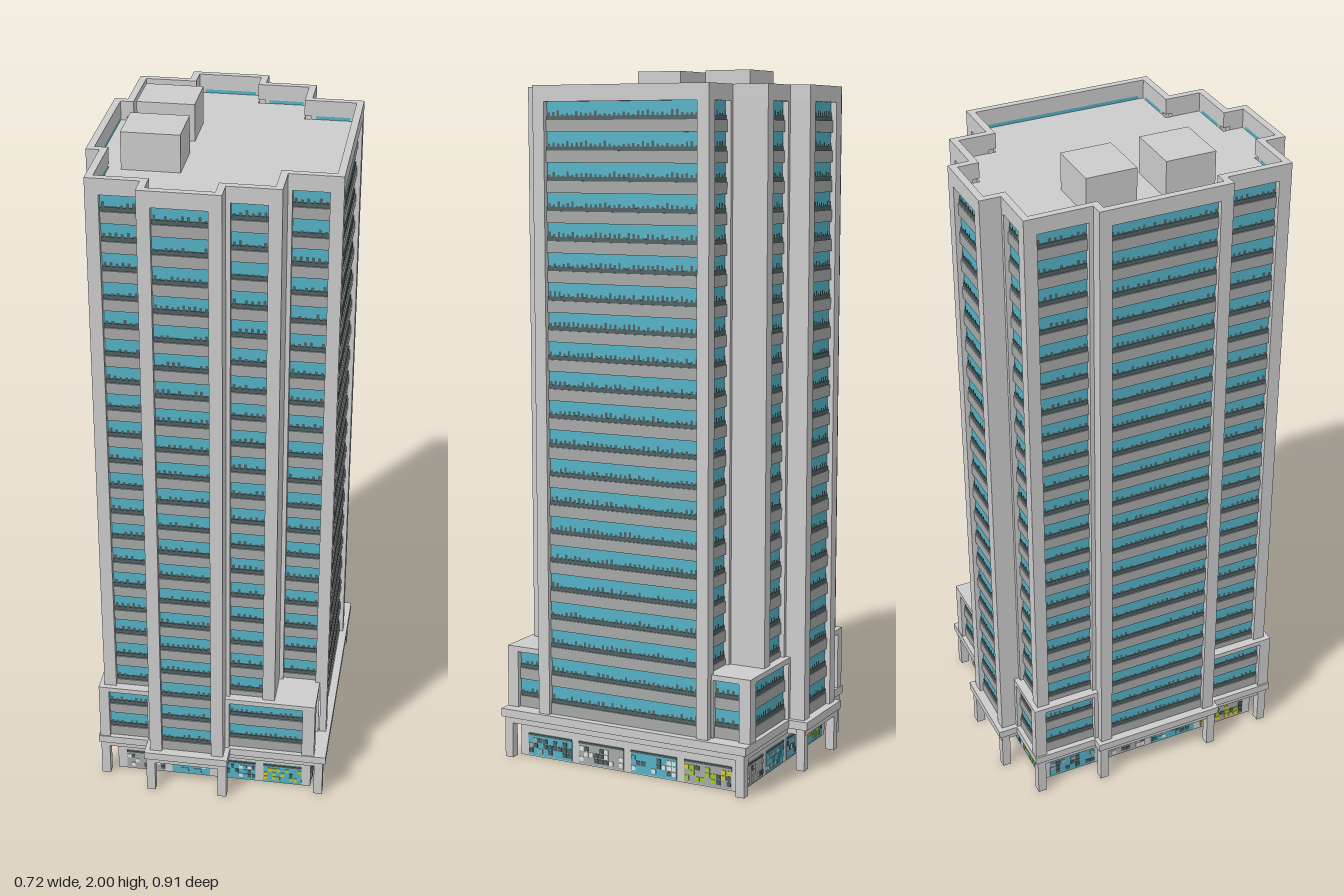
import * as THREE from 'three';
import { mergeGeometries } from 'three/addons/utils/BufferGeometryUtils.js';

const mat = (name, color) => Object.assign(new THREE.MeshStandardMaterial({ color }), { name });

export function createModel() {
  const root = new THREE.Group();
  root.name = 'towerBlock';
  const M = {
    concrete: mat('concrete', 0xcccccc),
    spandrel: mat('spandrelGrey', 0xa6a8a7),
    glass: mat('tealGlass', 0x54b2c6),
    rail: mat('darkRailing', 0x506062),
    lime: mat('limeGoods', 0x9ccb2c),
    yellow: mat('yellowGoods', 0xd8c832),
    white: mat('paleGoods', 0xdfe4e4),
  };
  let seed = 7;
  const rnd = () => (seed = (seed * 16807) % 2147483647) / 2147483647;

  // geometry is collected per part and merged at the end
  const parts = {};
  const put = (part, material, geo, m) => {
    if (m) geo.applyMatrix4(m);
    (parts[part] ??= { material, list: [] }).list.push(geo.index ? geo.toNonIndexed() : geo);
  };
  // box between two corners
  const box = (part, material, x0, x1, y0, y1, z0, z1, m) => {
    const g = new THREE.BoxGeometry(x1 - x0, y1 - y0, z1 - z0);
    g.translate((x0 + x1) / 2, (y0 + y1) / 2, (z0 + z1) / 2);
    put(part, material, g, m);
  };

  // plans are lists of [x, z]; the rear half mirrors the front half
  const mirrorPlan = (half) => [...half, ...half.map(([x, z]) => [x, -z]).reverse()];
  const length = (p, q) => Math.hypot(q[0] - p[0], q[1] - p[1]);
  const normal = (p, q) => [(q[1] - p[1]) / length(p, q), -(q[0] - p[0]) / length(p, q)];
  const inset = (pts, d) => pts.map((p, i) => {
    const a = normal(pts.at(i - 1), p), b = normal(p, pts[(i + 1) % pts.length]);
    return [p[0] - d * (a[0] + b[0]), p[1] - d * (a[1] + b[1])];
  });
  const vec = (pts) => pts.map(([x, z]) => new THREE.Vector2(x, -z));
  const prism = (part, material, pts, y0, y1, hole) => {
    const s = new THREE.Shape(vec(pts));
    if (hole) s.holes.push(new THREE.Path(vec(hole).reverse()));
    const g = new THREE.ExtrudeGeometry(s, { depth: y1 - y0, bevelEnabled: false });
    put(part, material, g.rotateX(-Math.PI / 2).translate(0, y0, 0));
  };

  const BASE = 0.147, PITCH = 0.0837, T = 0.02, TOP = 1.95;

  // matrix whose local z faces outward from the wall p-q
  const wallFrame = (p, q) => {
    const n = normal(p, q);
    return new THREE.Matrix4().makeRotationY(Math.atan2(n[0], n[1]))
      .setPosition((p[0] + q[0]) / 2, 0, (p[1] + q[1]) / 2);
  };

  // wall with piers at its ends and storeys of spandrel, railing and glass between
  const wall = (name, p, q, a, b, first, last) => {
    const m = wallFrame(p, q), h = length(p, q) / 2;
    const y0 = BASE + first * PITCH, top = BASE + last * PITCH;
    if (a === null) return box(name + 'Piers', M.concrete, -h, h, y0, top, -T, 0, m);
    const x0 = -h + b, x1 = h - a;
    box(name + 'Piers', M.concrete, -h, x0, y0, top, -T, 0, m);
    box(name + 'Piers', M.concrete, x1, h, y0, top, -T, 0, m);
    for (let f = first; f < last; f++) {
      const y = BASE + f * PITCH;
      box(name + 'Spandrels', M.spandrel, x0, x1, y, y + 0.033, -T, -0.011, m);
      box(name + 'Glass', M.glass, x0, x1, y + 0.033, y + PITCH, -T, -0.017, m);
      box(name + 'Railings', M.rail, x0, x1, y + 0.033, y + 0.045, -0.017, -0.014, m);
      // uneven uprights along the railing
      const n = Math.round((x1 - x0) / 0.015), w = (x1 - x0) / n;
      for (let i = 0; i < n; i++) {
        const tall = 0.003 + 0.013 * rnd();
        const g = new THREE.PlaneGeometry(w * 0.5, tall);
        g.translate(x0 + (i + 0.5) * w, y + 0.045 + tall / 2, -0.0145);
        put(name + 'Railings', M.rail, g, m);
      }
    }
  };

  // tower; walls standing on the corner blocks start two floors up
  const plan = mirrorPlan([[0.345, 0.275], [0.2, 0.275], [0.2, 0.38], [0.055, 0.38], [0.055, 0.44],
    [-0.165, 0.44], [-0.165, 0.38], [-0.31, 0.38], [-0.31, 0.19], [-0.347, 0.19]]);
  const inner = inset(plan, T);
  prism('towerCoreAndRoof', M.concrete, inner, 0.3, 1.895);
  prism('parapet', M.concrete, plan, BASE + 21 * PITCH, TOP, inner);
  const convex = plan.map((p, i) => {
    const a = normal(plan.at(i - 1), p), b = normal(p, plan[(i + 1) % plan.length]);
    return a[0] * b[1] - a[1] * b[0] > 0;
  });
  const onBlock = ([x, z], [u, w]) => (z === w && [0.38, 0.275].includes(Math.abs(z)))
    || (x === u && [0.2, -0.31].includes(x));
  plan.forEach((p, i) => {
    const j = (i + 1) % plan.length, q = plan[j];
    const a = length(p, q) < 0.12 ? null : convex[i] ? 0.036 : 0.012;
    wall('tower', p, q, a, convex[j] ? 0.036 : 0.012, onBlock(p, q) ? 2 : 0, 21);
  });

  // roof plant rooms
  for (const z of [-0.185, 0.04]) box('roofPlantRooms', M.concrete, -0.255, -0.095, 1.89, 2, z, z + 0.143);

  // two-storey corner blocks
  for (const s of [1, -1]) {
    const side = (p, q, a, b) => s > 0 ? wall('cornerBlock', p, q, a, b, 0, 2)
      : wall('cornerBlock', [q[0], -q[1]], [p[0], -p[1]], b, a, 0, 2);
    const zs = (a, b) => s > 0 ? [a, b] : [-b, -a];
    const roofY = BASE + 2 * PITCH;
    side([0.322, 0.275], [0.322, 0.395], 0.005, 0.035);
    side([0.322, 0.395], [0.055, 0.395], 0.037, 0.012);
    side([-0.165, 0.395], [-0.325, 0.395], 0.014, 0.03);
    side([-0.325, 0.395], [-0.325, 0.19], 0.035, 0.012);
    box('cornerBlockRoofs', M.concrete, 0.055, 0.322, roofY, 0.33, ...zs(0.26, 0.395));
    box('cornerBlockRoofs', M.concrete, -0.325, -0.165, roofY, 0.33, ...zs(0.19, 0.395));
  }

  // canopy slab with a beam under its rim, open in the middle to a lined hall
  const shop = [[0.31, -0.36], [0.31, 0.36], [-0.28, 0.36], [-0.28, -0.36]];
  const canopy = mirrorPlan([[0.357, 0.398], [0.07, 0.398], [0.07, 0.455], [-0.18, 0.455],
    [-0.18, 0.398], [-0.33, 0.398], [-0.33, 0.203], [-0.36, 0.203]]);
  prism('canopySlab', M.concrete, canopy, 0.123, BASE, inset(shop, 0.036));
  prism('canopyBeam', M.concrete, inset(canopy, 0.008), 0.105, 0.123, inset(canopy, 0.033));
  prism('hallLining', M.concrete, inset(shop, 0.024), BASE, 0.31, inset(shop, 0.036));

  // columns at the canopy corners
  for (const z of [1, -1]) {
    for (const [x, d] of [[0.336, 0.377], [0.053, 0.433], [-0.163, 0.433], [-0.312, 0.377], [-0.34, 0.182]]) {
      box('columns', M.concrete, x - 0.013, x + 0.013, 0, 0.123, z * d - 0.013, z * d + 0.013);
    }
  }

  // hollow ground floor
  prism('groundFloorWalls', M.concrete, shop, 0, 0.123, inset(shop, 0.012));

  // shop fronts: a thin backing per bay on both wall faces, with small goods in front
  const bays = [
    ['spandrel', 'lime', 'yellow', 'rail'], ['glass', 'rail', 'glass', 'white'],
    ['spandrel', 'white', 'rail', 'white'], ['glass', 'rail', 'spandrel', 'rail'],
    ['glass', 'lime', 'yellow', 'rail'], ['glass', 'glass', 'white', 'rail'],
    ['glass', 'glass', 'white', 'glass'], ['spandrel', 'white', 'rail', 'white'],
  ];
  shop.forEach((p, k) => {
    const q = shop[(k + 1) % 4], m = wallFrame(p, q);
    const len = length(p, q), w = (len - 0.03) / 4;
    for (let i = 0; i < 4; i++) {
      const [back, ...goods] = bays[(k % 2) * 4 + i];
      const x0 = len / 2 - 0.003 - (i + 1) * w, x1 = x0 + w - 0.024;
      box(back + 'ShopFronts', M[back], x0, x1, 0.004, 0.07, -0.014, 0.002, m);
      box('shopSigns', M.rail, x0, x1, 0.064, 0.07, 0.002, 0.004, m);
      const n = 9, step = (x1 - x0) / n;
      for (let c = 0; c < n; c++) {
        for (let r = 0; r < 3; r++) {
          const key = goods[Math.floor(rnd() * 3)], x = x0 + c * step, y = 0.012 + r * 0.016;
          if (rnd() < 0.6) box(key + 'Goods', M[key], x + 0.002, x + step - 0.001, y, y + 0.013, 0.002, 0.004, m);
        }
      }
    }
  });

  for (const [name, { material, list }] of Object.entries(parts)) {
    const mesh = new THREE.Mesh(mergeGeometries(list), material);
    mesh.name = name;
    root.add(mesh);
  }
  return root;
}
